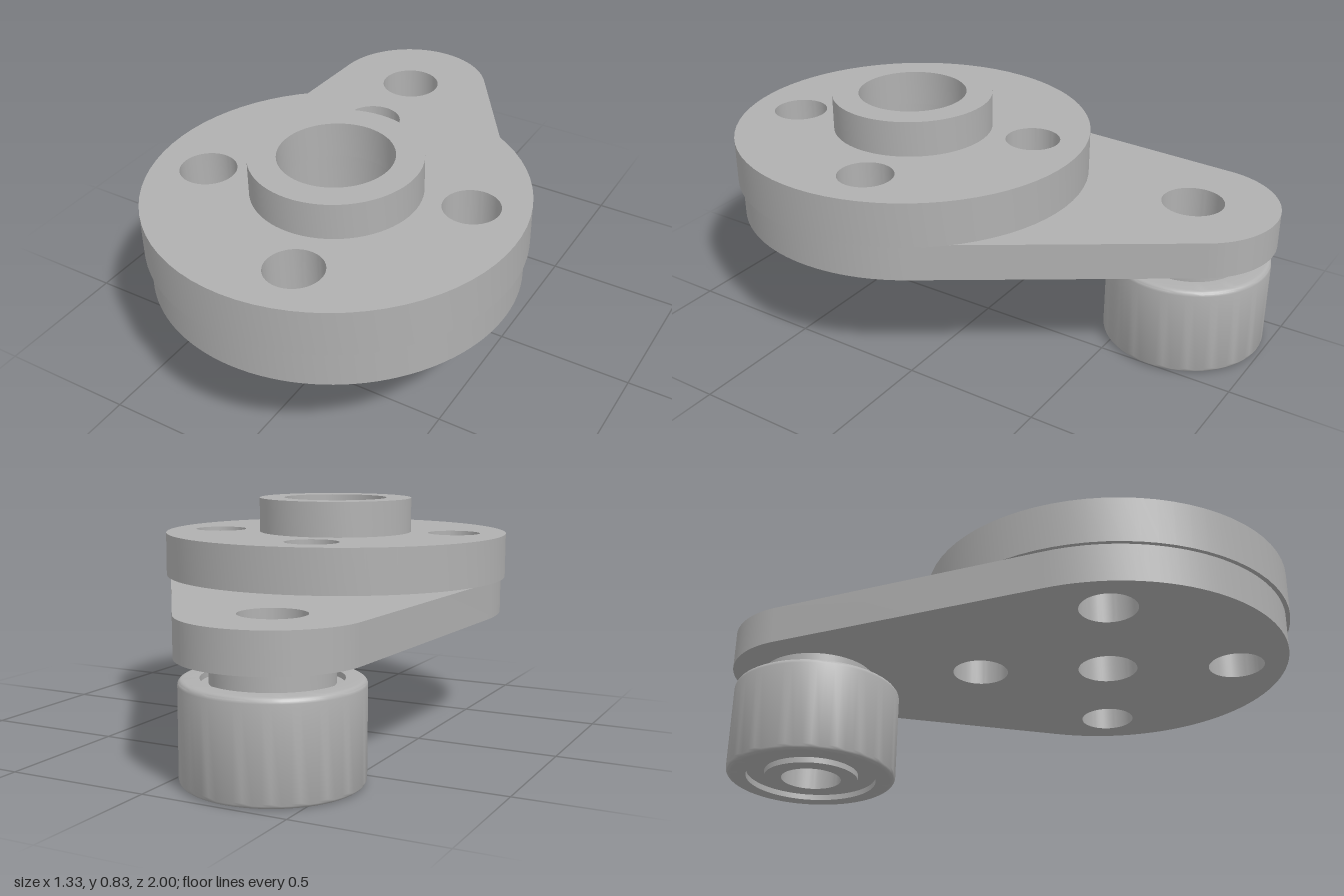
import * as THREE from 'three';
import { toCreasedNormals } from 'three/addons/utils/BufferGeometryUtils.js';

const HUB = { x: 0, z: 0.335 };        // axis of flange and collar
const PIN = { x: -0.285, z: -0.69 };   // axis of roller

export function createModel() {
  const group = new THREE.Group();
  const steel = new THREE.MeshStandardMaterial({ color: 0xb0b0b0 });
  steel.name = 'grey steel';

  function add(name, geometry) {
    const mesh = new THREE.Mesh(toCreasedNormals(geometry, 0.6), steel);
    mesh.name = name;
    group.add(mesh);
    return mesh;
  }

  // Shapes are drawn in plan, with shape y = -z
  function circle(c, r, Type = THREE.Shape) {
    const path = new Type();
    path.absarc(c.x, -c.z, r, 0, Math.PI * 2, false);
    return path;
  }
  const hole = (c, r) => circle(c, r, THREE.Path);

  function slab(name, shape, y0, y1) {
    const g = new THREE.ExtrudeGeometry(shape, { depth: y1 - y0, bevelEnabled: false, curveSegments: 36 });
    g.rotateX(-Math.PI / 2).translate(0, y0, 0);
    add(name, g);
  }

  // Four bolt holes around the hub axis
  const boltHoles = () => [0, 1, 2, 3].map((i) => {
    const a = 0.272 + i * Math.PI / 2;
    return hole({ x: HUB.x + 0.465 * Math.cos(a), z: HUB.z - 0.465 * Math.sin(a) }, 0.1);
  });

  // Arm plate: two arcs joined by tangents
  const R = 0.647, r = 0.31;
  const dx = PIN.x - HUB.x, dy = HUB.z - PIN.z;
  const phi = Math.atan2(dy, dx);
  const a = Math.acos((R - r) / Math.hypot(dx, dy));
  const arm = new THREE.Shape();
  arm.absarc(HUB.x, -HUB.z, R, phi + a, phi - a + Math.PI * 2, false);
  arm.absarc(PIN.x, -PIN.z, r, phi - a, phi + a, false);
  arm.closePath();
  arm.holes.push(...boltHoles(), hole(HUB, 0.107), hole(PIN, 0.113));
  slab('armPlate', arm, 0.4, 0.535);

  // Round flange
  const flange = circle(HUB, 0.663);
  flange.holes.push(...boltHoles(), hole(HUB, 0.2));
  slab('flange', flange, 0.535, 0.7);

  // Raised collar around the bore
  const collar = circle(HUB, 0.297);
  collar.holes.push(hole(HUB, 0.2));
  slab('collar', collar, 0.7, 0.832);

  // Spacer between arm and roller
  const spacer = circle(PIN, 0.2);
  spacer.holes.push(hole(PIN, 0.105));
  slab('spacer', spacer, 0.32, 0.4);

  // Roller with rounded rims and shallow ring grooves on both ends
  const outer = 0.297, top = 0.335, f = 0.018, groove = 0.02;
  const profile = [[0.105, 0], [0.165, 0], [0.165, groove], [0.228, groove], [0.228, 0]];
  for (let i = 0; i <= 4; i++) {
    const t = i * Math.PI / 8;
    profile.push([outer - f + f * Math.sin(t), f - f * Math.cos(t)]);
  }
  const mirrored = profile.map(([x, y]) => [x, top - y]).reverse();
  const points = [...profile, ...mirrored, profile[0]].map(([x, y]) => new THREE.Vector2(x, y));
  const roller = add('roller', new THREE.LatheGeometry(points, 64));
  roller.position.set(PIN.x, 0, PIN.z);

  return group;
}
